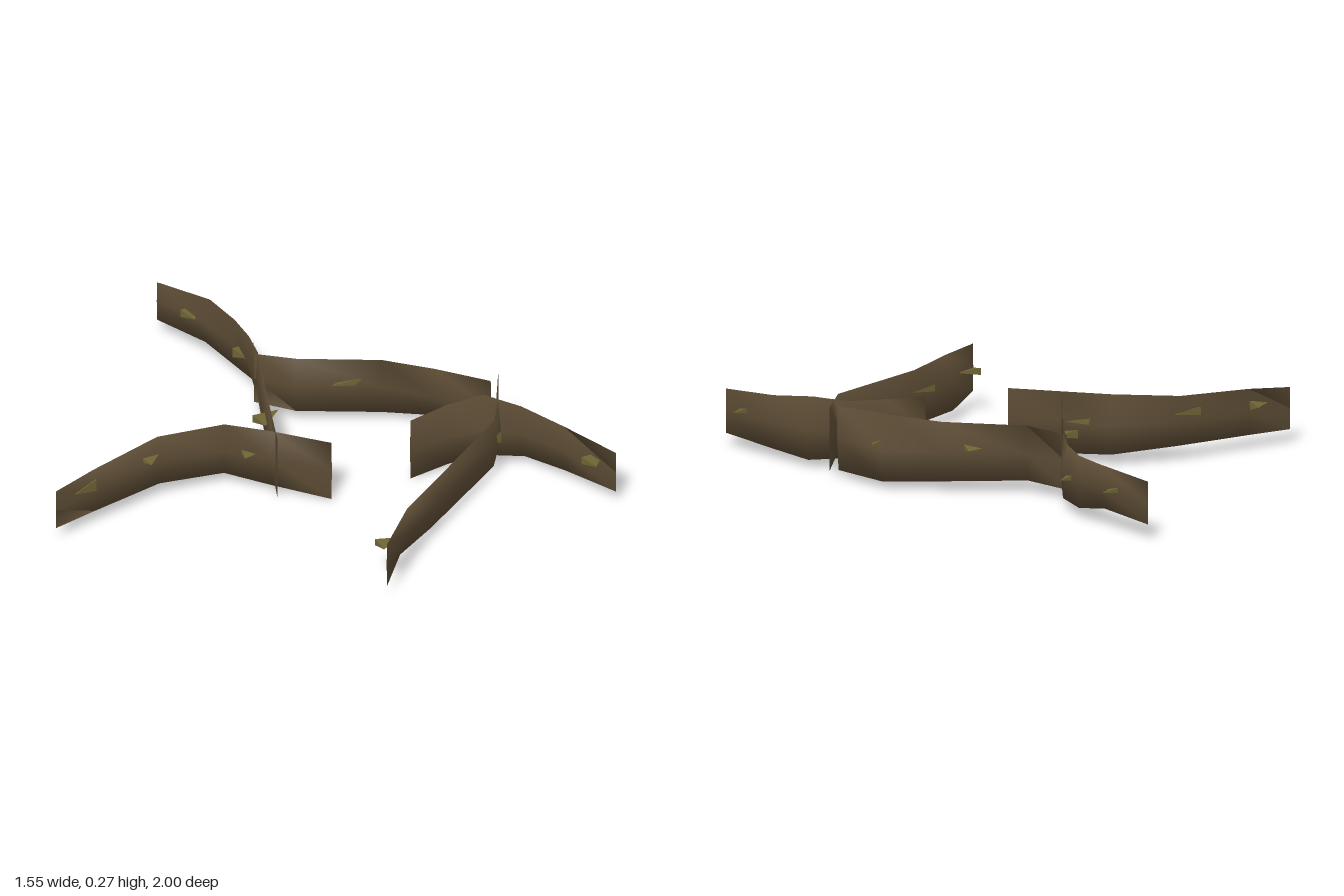
import * as THREE from 'three';

const bark = new THREE.MeshStandardMaterial({ color: 0x5a4a33 });
bark.name = 'bark brown';
bark.side = THREE.DoubleSide;
const leafGreen = new THREE.MeshStandardMaterial({ color: 0x6e6434 });
leafGreen.name = 'dull olive';
leafGreen.side = THREE.DoubleSide;

// Flattened branch: stations are [x, z, bottom, top, halfThickness, lean]
function branch(name, stations) {
  const pos = [], index = [], n = stations.length;
  stations.forEach(([x, z, bottom, top, thick, lean = 0], i) => {
    const a = stations[Math.max(0, i - 1)], b = stations[Math.min(n - 1, i + 1)];
    const len = Math.hypot(b[0] - a[0], b[1] - a[1]);
    const sx = (b[1] - a[1]) / len, sz = -(b[0] - a[0]) / len;
    const mid = (bottom + top) / 2;
    const ring = [[lean, top], [thick, mid], [-lean, bottom], [-thick, mid]];
    for (const [side, y] of ring) pos.push(x + sx * side, y, z + sz * side);
  });
  for (let i = 0; i < n - 1; i++) {
    for (let k = 0; k < 4; k++) {
      const a = i * 4 + k, b = i * 4 + (k + 1) % 4;
      index.push(a, a + 4, b, b, a + 4, b + 4);
    }
  }
  const geo = new THREE.BufferGeometry();
  geo.setAttribute('position', new THREE.Float32BufferAttribute(pos, 3));
  geo.setIndex(index);
  geo.computeVertexNormals();
  const mesh = new THREE.Mesh(geo, bark);
  mesh.name = name;
  return mesh;
}

// Small three-sided bud, its tip along +x and flattened in height
const budGeo = new THREE.ConeGeometry(0.5, 1, 3).toNonIndexed();
budGeo.rotateZ(-Math.PI / 2);
budGeo.computeVertexNormals();

function bud([x, y, z, angle, length = 0.11, width = 0.09, height = 0.035]) {
  const mesh = new THREE.Mesh(budGeo, leafGreen);
  mesh.name = 'bud';
  mesh.position.set(x, y, z);
  mesh.rotation.y = angle;
  mesh.scale.set(length, height, width);
  return mesh;
}

export function createModel() {
  const group = new THREE.Group();
  group.name = 'fallenBranches';

  group.add(
    branch('leftForkBranch', [
      [-0.775, -0.4, 0.055, 0.212, 0.001], [-0.6, -0.365, 0.058, 0.232, 0.007, 0.003],
      [-0.31, -0.305, 0.06, 0.25, 0.014, 0.008], [-0.1, -0.17, 0.045, 0.265, 0.02, -0.01],
      [-0.03, -0.01, 0.03, 0.26, 0.01], [0.06, 0.2, 0.01, 0.25, 0.001],
    ]),
    branch('mainBranch', [
      [-0.06, 0.045, 0.015, 0.265, 0.001], [0.15, -0.175, 0.04, 0.255, 0.008],
      [0.36, -0.39, 0.05, 0.25, 0.008], [0.445, -0.49, 0.045, 0.24, 0.02, 0.01],
      [0.495, -0.61, 0.04, 0.235, 0.007], [0.525, -0.76, 0.07, 0.24, 0.018, -0.012],
      [0.53, -1, 0.06, 0.22, 0.001],
    ]),
    branch('sideBranch', [
      [0.35, -0.4, 0.04, 0.245, 0.001], [0.395, -0.24, 0.05, 0.26, 0.015, 0.01],
      [0.59, 0, 0.04, 0.262, 0.008], [0.69, 0.18, 0.03, 0.265, 0.038, -0.03],
      [0.72, 0.4, 0.03, 0.27, 0.006],
    ]),
    branch('longFrontBranch', [
      [0.775, 0.39, 0.038, 0.275, 0.001], [0.65, 0.49, 0.04, 0.265, 0.012],
      [0.565, 0.55, 0.04, 0.255, 0.015, 0.008], [0.1, 0.635, 0.04, 0.24, 0.014, 0.006],
      [-0.11, 0.675, 0.045, 0.25, 0.025, 0.014], [-0.32, 0.77, 0.057, 0.235, 0.002],
    ]),
    branch('shortFrontBranch', [
      [0.355, 0.325, 0.003, 0.25, 0.002], [0.5, 0.38, 0.025, 0.26, 0.02, 0.012],
      [0.62, 0.45, 0.04, 0.265, 0.035, 0.025], [0.685, 0.58, 0.03, 0.26, 0.022, -0.015],
      [0.7, 0.76, 0.04, 0.235, 0.012, -0.006], [0.7, 1, 0.05, 0.215, 0.001],
    ]),
  );

  // Buds as [x, y, z, heading, length, width, height]
  const buds = new THREE.Group();
  buds.name = 'buds';
  [
    [-0.65, 0.17, -0.375, Math.PI, 0.1, 0.08, 0.055],
    [-0.33, 0.185, -0.315, -0.05], [-0.04, 0.16, -0.07, -0.6],
    [0.16, 0.165, -0.18, -0.1], [0.55, 0.16, -0.84, 0],
    [0.485, 0.14, -0.55, 0.05, 0.1, 0.09, 0.045],
    [0.5, 0.17, -0.1, 2.7], [0.715, 0.17, 0.2, 0.2, 0.09, 0.09, 0.045],
    [0.575, 0.17, 0.39, 2.6, 0.07, 0.06, 0.04],
    [0.53, 0.17, 0.555, 3.1, 0.09, 0.05, 0.05],
    [0.08, 0.165, 0.62, 0, 0.11, 0.03, 0.03],
    [-0.215, 0.165, 0.69, -0.3, 0.09, 0.08, 0.03],
    [0.71, 0.155, 0.9, 0],
  ].forEach((b) => buds.add(bud(b)));
  group.add(buds);
  return group;
}
